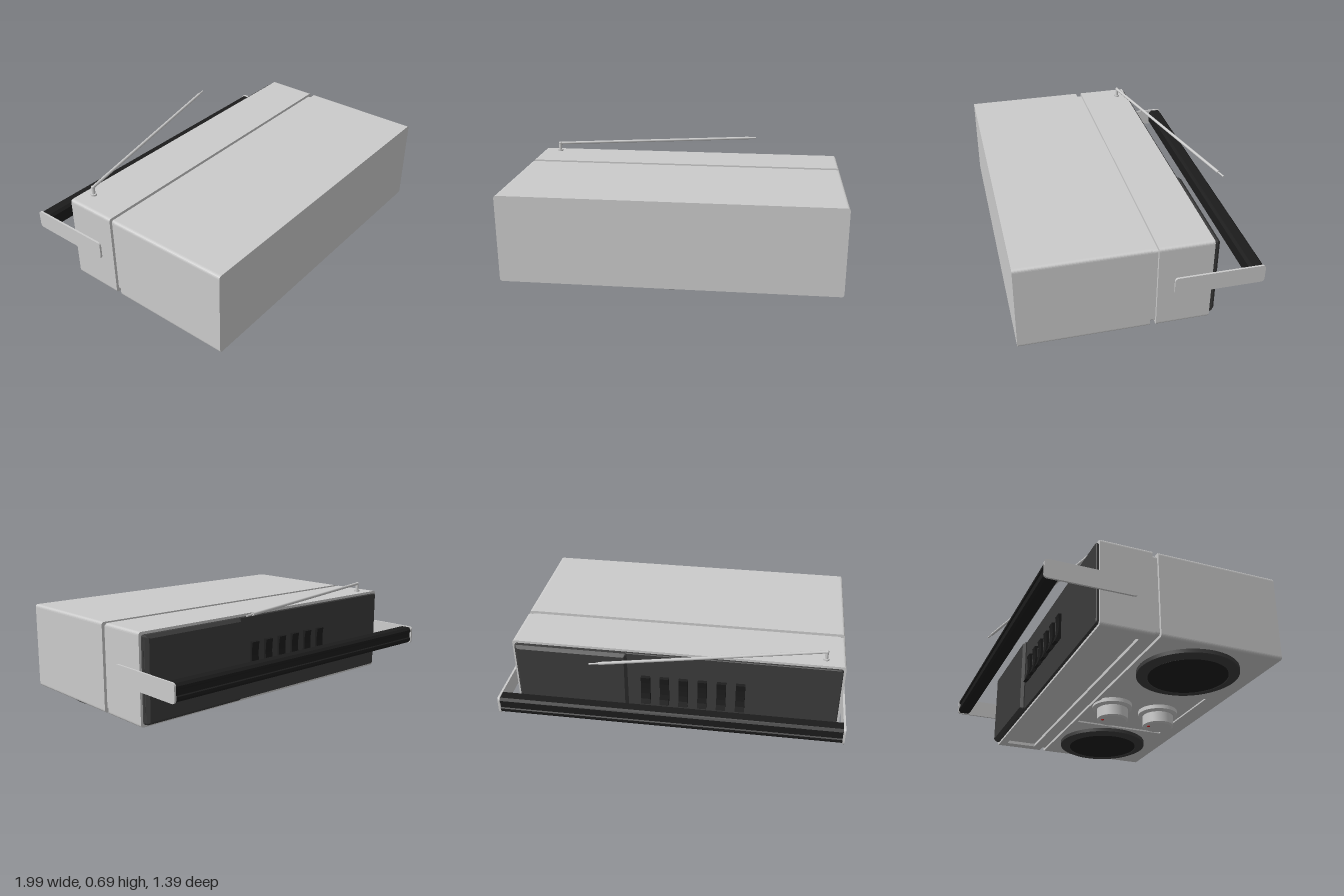
import * as THREE from 'three';
import { toCreasedNormals } from 'three/addons/utils/BufferGeometryUtils.js';

const paint = (color) => new THREE.MeshStandardMaterial({ color });

export function createModel() {
  const model = new THREE.Group();
  const grey = paint(0xcccccc);
  const black = paint(0x1c1c1c);
  const charcoal = paint(0x3c3c3c);
  const red = paint(0xcc2020);

  function add(name, geometry, material, x = 0, y = 0, z = 0, parent = model) {
    const mesh = new THREE.Mesh(geometry, material);
    mesh.name = name;
    mesh.position.set(x, y, z);
    parent.add(mesh);
    return mesh;
  }

  // Rounded rectangle; an optional notch is cut into its lower edge
  function roundedRect(x0, x1, y0, y1, r, notch) {
    const s = new THREE.Shape();
    s.moveTo(x0 + r, y0);
    if (notch) {
      s.lineTo(-notch.half, y0);
      s.lineTo(-notch.half, y0 + notch.depth);
      s.lineTo(notch.half, y0 + notch.depth);
      s.lineTo(notch.half, y0);
    }
    s.lineTo(x1 - r, y0);
    s.quadraticCurveTo(x1, y0, x1, y0 + r);
    s.lineTo(x1, y1 - r);
    s.quadraticCurveTo(x1, y1, x1 - r, y1);
    s.lineTo(x0 + r, y1);
    s.quadraticCurveTo(x0, y1, x0, y1 - r);
    s.lineTo(x0, y0 + r);
    s.quadraticCurveTo(x0, y0, x0 + r, y0);
    return s;
  }
  const extrude = (shape, depth, bevel = 0) => new THREE.ExtrudeGeometry(shape, {
    depth, curveSegments: 5, bevelEnabled: bevel > 0,
    bevelThickness: bevel, bevelSize: bevel, bevelOffset: -bevel, bevelSegments: 1,
  });
  const lathe = (points, segments = 48) => toCreasedNormals(
    new THREE.LatheGeometry(points.map(([r, y]) => new THREE.Vector2(r, y)), segments), 0.5);

  // Case built in slices along z, with recesses on its underside
  function caseSlice(name, z0, z1, notch) {
    add(name, extrude(roundedRect(-0.985, 0.985, 0.105, 0.625, 0.018, notch), z1 - z0), grey, 0, 0, z0);
  }
  const controlRecess = { half: 0.33, depth: 0.01 };
  const dialRecess = { half: 0.91, depth: 0.02 };
  caseSlice('mainCase', 0.58, 0.695);
  caseSlice('controlPanelCase', -0.02, 0.58, controlRecess);
  caseSlice('mainCaseEdge', -0.045, -0.02);
  caseSlice('upperCaseEdge', -0.14, -0.08);
  caseSlice('dialCase', -0.34, -0.14, dialRecess);
  caseSlice('upperCase', -0.39, -0.34);
  add('seamGroove', extrude(roundedRect(-0.968, 0.968, 0.122, 0.608, 0.015), 0.055), grey, 0, 0, -0.09);

  // Dark control deck with a raised door
  add('rearDeck', extrude(roundedRect(-0.97, 0.97, 0.12, 0.61, 0.015), 0.025, 0.004), charcoal, 0, 0, -0.401);
  add('deckDoor', extrude(roundedRect(0.285, 0.965, 0.12, 0.61, 0.015), 0.02, 0.018), charcoal, 0, 0, -0.412);

  // Row of piano keys with a dished finger surface
  const key = new THREE.Shape();
  key.moveTo(0.395, 0.46);
  key.lineTo(0.425, 0.455);
  key.quadraticCurveTo(0.405, 0.35, 0.442, 0.275);
  key.lineTo(0.425, 0.27);
  key.lineTo(0.395, 0.31);
  key.closePath();
  const keyGeometry = extrude(key, 0.055);
  keyGeometry.translate(0, 0, -0.0275);
  keyGeometry.rotateY(Math.PI / 2);
  for (let i = 0; i < 6; i++) add('key', keyGeometry, black, -0.392 + i * 0.1135);

  // Speakers on the underside
  const ring = lathe([[0.215, 0.1], [0.235, 0.07], [0.27, 0.07], [0.295, 0.082], [0.295, 0.106]], 64);
  const domeProfile = [];
  for (let i = 0; i <= 10; i++) {
    const t = i / 10;
    domeProfile.push([0.23 * t, 0.03 + 0.042 * t * t]);
  }
  domeProfile.push([0.23, 0.1]);
  const dome = lathe(domeProfile, 64);
  for (const side of [-1, 1]) {
    const speaker = new THREE.Group();
    speaker.name = 'speaker';
    speaker.position.set(side * 0.648, 0, 0.285);
    add('speakerRing', ring, charcoal, 0, 0, 0, speaker);
    add('speakerDome', dome, black, 0, 0, 0, speaker);
    model.add(speaker);
  }

  // Two knobs, each with a stepped collar and a red marker
  const collar = lathe([[0, 0.08], [0.108, 0.08], [0.125, 0.09], [0.125, 0.116]]);
  const cap = lathe([[0, 0.006], [0.085, 0.006], [0.098, 0.014], [0.098, 0.09]]);
  for (const z of [0.405, 0.088]) {
    const knob = new THREE.Group();
    knob.name = 'knob';
    knob.position.set(-0.008, 0, z);
    add('knobCollar', collar, grey, 0, 0, 0, knob);
    add('knobCap', cap, grey, 0, 0, 0, knob);
    add('knobMarker', new THREE.CylinderGeometry(0.01, 0.01, 0.004, 12), red, 0, 0.005, -0.068, knob);
    model.add(knob);
  }

  // Carrying handle: two flat arms and a ribbed grip
  const arm = extrude(roundedRect(0.175, 0.697, 0.31, 0.42, 0.022), 0.012);
  arm.rotateY(Math.PI / 2);
  add('handleArm', arm, grey, 0.985);
  add('handleArm', arm, grey, -0.997);
  const grip = new THREE.Shape();
  const gripOutline = [
    [0.61, 0.33], [0.625, 0.315], [0.68, 0.315], [0.693, 0.33], [0.693, 0.345], [0.686, 0.35],
    [0.686, 0.38], [0.693, 0.385], [0.693, 0.4], [0.68, 0.415], [0.625, 0.415], [0.61, 0.4],
  ];
  grip.setFromPoints(gripOutline.map(([x, y]) => new THREE.Vector2(x, y)));
  const gripGeometry = extrude(grip, 1.976);
  gripGeometry.translate(0, 0, -0.988);
  gripGeometry.rotateY(Math.PI / 2);
  add('handleGrip', gripGeometry, black);

  // Folded telescopic aerial
  const pivot = new THREE.Vector3(-0.87, 0.678, -0.325);
  const tip = new THREE.Vector3(0.45, 0.676, -0.635);
  function rod(name, t0, t1, r) {
    const a = pivot.clone().lerp(tip, t0);
    const b = pivot.clone().lerp(tip, t1);
    const mesh = add(name, new THREE.CylinderGeometry(r, r, a.distanceTo(b), 12), grey);
    mesh.position.copy(a).lerp(b, 0.5);
    mesh.quaternion.setFromUnitVectors(new THREE.Vector3(0, 1, 0), b.sub(a).normalize());
  }
  add('aerialFoot', new THREE.CylinderGeometry(0.018, 0.018, 0.012, 16), grey, pivot.x, 0.63, pivot.z);
  add('aerialPost', new THREE.CylinderGeometry(0.01, 0.01, 0.06, 12), grey, pivot.x, 0.655, pivot.z);
  add('aerialJoint', new THREE.SphereGeometry(0.011, 12, 8), grey, pivot.x, pivot.y, pivot.z);
  rod('aerialRod', 0, 0.96, 0.009);
  rod('aerialTip', 0.96, 1, 0.005);

  return model;
}
